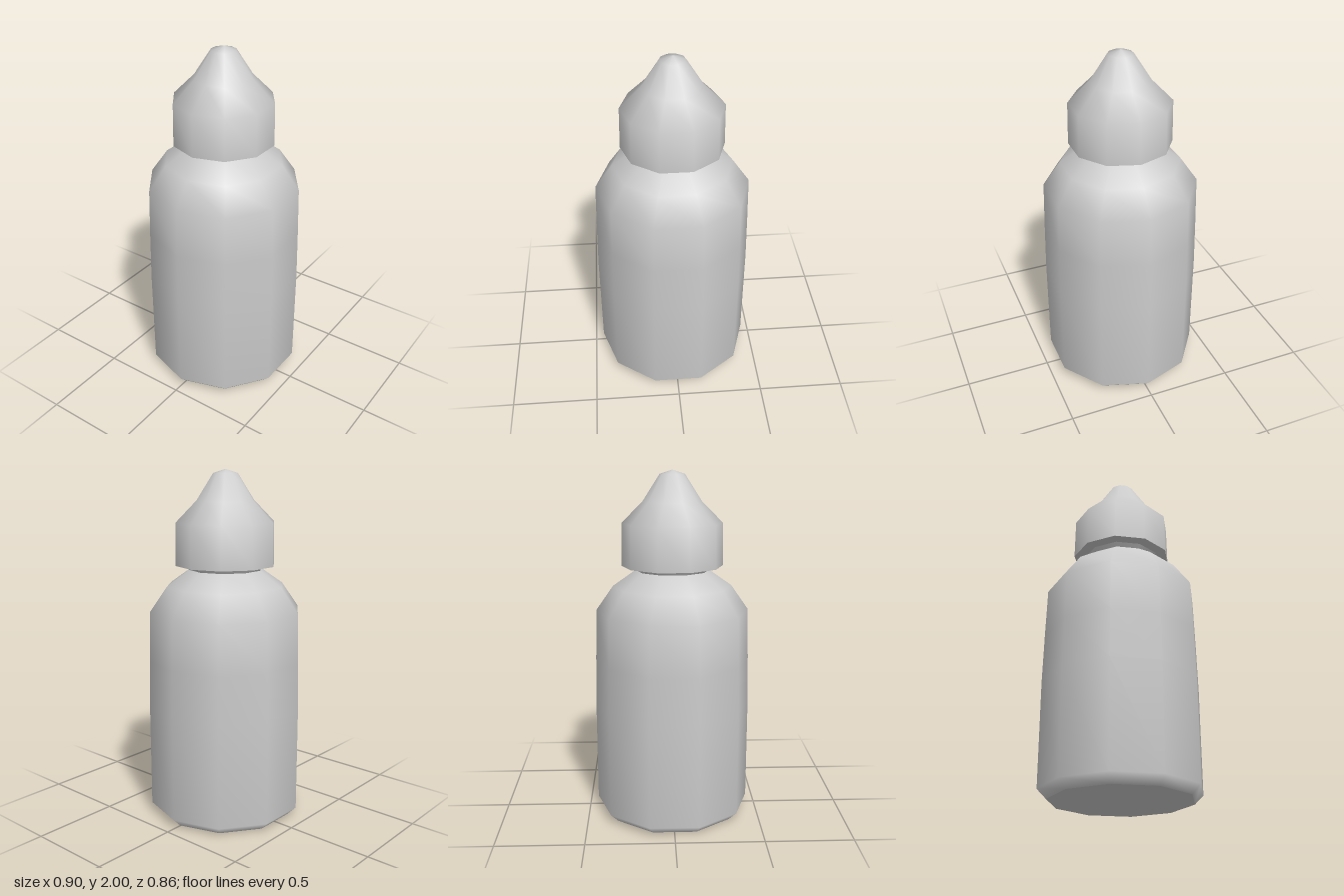
import * as THREE from 'three';

const SIDES = 10;

// Ten-sided turned part from [radius, height] pairs, listed bottom to top
function turned(name, profile, material) {
  const points = profile.map(([r, y]) => new THREE.Vector2(r, y));
  const geometry = new THREE.LatheGeometry(points, SIDES, Math.PI / 2);
  const mesh = new THREE.Mesh(geometry, material);
  mesh.name = name;
  return mesh;
}

export function createModel() {
  const material = new THREE.MeshStandardMaterial({ color: 0xcccccc });
  const group = new THREE.Group();
  group.name = 'bottle';

  // Flat bottom disc, kept apart from the wall for a sharp rim
  group.add(turned('base', [[0, 0], [0.4, 0.003]], material));

  // Chamfered foot, slightly tapering wall, rounded shoulder
  group.add(turned('body', [
    [0.4, 0.003], [0.45, 0.053], [0.45, 0.65], [0.444, 0.93],
    [0.436, 1.215], [0.338, 1.355], [0.21, 1.445],
  ], material));

  // Short neck flaring into the cap
  group.add(turned('neck', [[0.21, 1.445], [0.225, 1.468]], material));

  // Cap underside and domed cap ending in a pointed nozzle
  group.add(turned('capUnderside', [[0.2, 1.468], [0.288, 1.47]], material));
  group.add(turned('cap', [
    [0.288, 1.47], [0.284, 1.71], [0.165, 1.83], [0.07, 1.978], [0, 2],
  ], material));

  return group;
}
